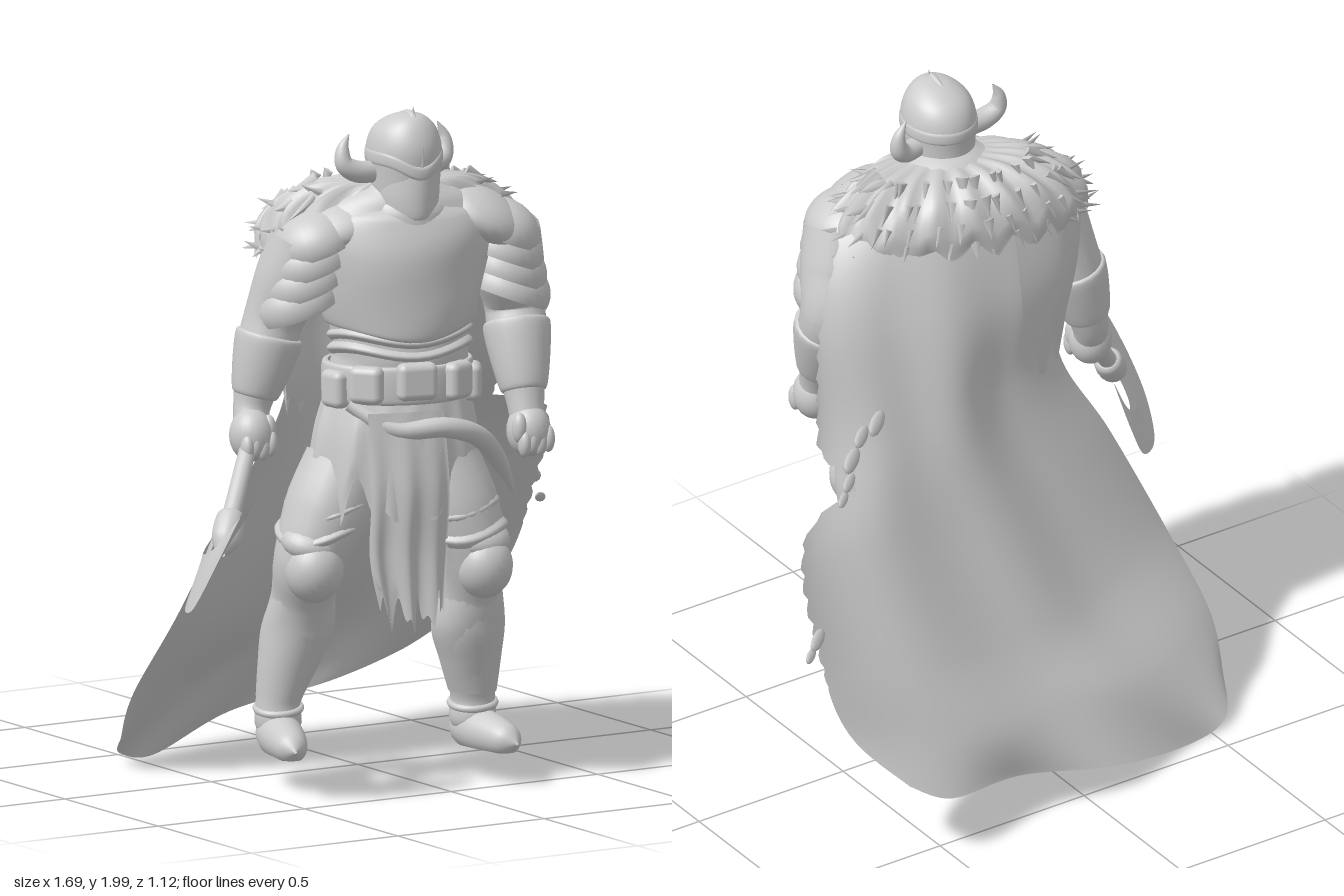
import * as THREE from 'three';
import { ParametricGeometry } from 'three/addons/geometries/ParametricGeometry.js';
import { RoundedBoxGeometry } from 'three/addons/geometries/RoundedBoxGeometry.js';

const YAW = -0.25; // the body is turned slightly
const stone = new THREE.MeshStandardMaterial({ color: 0xcccccc, side: THREE.DoubleSide });
stone.name = 'stone grey';

let seed = 7;
const rand = () => (seed = (seed * 16807) % 2147483647) / 2147483647;
const smooth = (a, b, x) => THREE.MathUtils.smoothstep(x, a, b);

// Catmull-Rom through rows of numbers
function spline(rows) {
  const n = rows.length - 1;
  return (t) => {
    const k = Math.min(Math.max(t, 0), 1) * n, i = Math.min(Math.floor(k), n - 1), f = k - i;
    const [p, q, r, s] = [-1, 0, 1, 2].map((d) => rows[Math.min(Math.max(i + d, 0), n)]);
    return q.map((_, c) => 0.5 * (2 * q[c] + (r[c] - p[c]) * f + (2 * p[c] - 5 * q[c] + 4 * r[c] - s[c]) * f * f
      + (3 * q[c] - p[c] - 3 * r[c] + s[c]) * f * f * f));
  };
}

export function createModel() {
  const model = new THREE.Group();
  model.name = 'hornedWarrior';

  const add = (name, geo, pos = [0, 0, 0], rot = [0, 0, 0], scale = [1, 1, 1]) => {
    const m = new THREE.Mesh(geo, stone);
    m.name = name;
    m.position.set(...pos);
    m.rotation.set(...rot);
    m.scale.set(...scale);
    model.add(m);
    return m;
  };

  // Stack of horizontal ellipses: rows of [x, y, z, rx, rz]
  const loft = (name, rows, yaw = YAW, bump = () => 1, drop = () => 0, nu = 48, nv = 40) => {
    const s = spline(rows), c = Math.cos(yaw), d = Math.sin(yaw);
    return add(name, new ParametricGeometry((u, v, p) => {
      const [x, y, z, rx, rz] = s(v), a = u * Math.PI * 2, b = bump(a, v);
      const ex = Math.cos(a) * rx * b, ez = Math.sin(a) * rz * b;
      p.set(x + ex * c + ez * d, y + drop(a, v), z - ex * d + ez * c);
    }, nu, nv));
  };

  // Round tube of varying radius: rows of [x, y, z, r]
  const limb = (name, rows, floor = -1, n = 20, steps = 28) => {
    const s = spline(rows), t = new THREE.Vector3(), a = new THREE.Vector3(), b = new THREE.Vector3();
    const first = rows[0], last = rows[rows.length - 1];
    const dir = new THREE.Vector3(last[0] - first[0], last[1] - first[1], last[2] - first[2]).normalize();
    const ref = Math.abs(dir.y) < 0.7 ? new THREE.Vector3(0, 1, 0) : new THREE.Vector3(0, 0, 1);
    return add(name, new ParametricGeometry((u, v, p) => {
      const [x, y, z, r] = s(v), p0 = s(v - 0.01), p1 = s(v + 0.01);
      t.set(p1[0] - p0[0], p1[1] - p0[1], p1[2] - p0[2]).normalize();
      a.crossVectors(ref, t).normalize();
      b.crossVectors(t, a);
      p.set(x, y, z).addScaledVector(a, r * Math.cos(u * Math.PI * 2)).addScaledVector(b, r * Math.sin(u * Math.PI * 2));
      p.y = Math.max(p.y, floor);
    }, n, steps));
  };

  // Cloth through rows of [x, y, z] points
  const sheet = (name, rows, nu, nv, warp = () => {}, reach = () => 1) => {
    const lines = rows.map(spline);
    return add(name, new ParametricGeometry((u, v, p) => {
      const w = u * reach(v);
      p.set(...spline(lines.map((l) => l(w)))(v));
      warp(p, w, v);
    }, nu, nv));
  };

  const ball = (name, pos, scale, rot = [0, YAW, 0]) =>
    add(name, new THREE.SphereGeometry(1, 24, 16), pos, rot, scale);

  // Torso with soft folds
  loft('torso', [[-0.05, 0.88, 0.27, 0.1, 0.08], [-0.05, 0.94, 0.27, 0.2, 0.15], [-0.04, 1.08, 0.27, 0.21, 0.16],
    [-0.035, 1.22, 0.28, 0.205, 0.165], [-0.035, 1.32, 0.28, 0.2, 0.165], [-0.035, 1.46, 0.28, 0.235, 0.185],
    [-0.03, 1.6, 0.27, 0.27, 0.195], [-0.03, 1.7, 0.26, 0.25, 0.16], [-0.04, 1.77, 0.28, 0.12, 0.11], [-0.045, 1.8, 0.3, 0.07, 0.07]],
    YAW, (a, v) => 1 + 0.012 * Math.sin(v * 60 + 3 * Math.sin(a)));
  // Breastplate and collar
  loft('breastplate', [[-0.035, 1.36, 0.28, 0.205, 0.17], [-0.035, 1.37, 0.28, 0.222, 0.187], [-0.035, 1.48, 0.28, 0.243, 0.196],
    [-0.03, 1.6, 0.27, 0.27, 0.203], [-0.03, 1.68, 0.27, 0.24, 0.18], [-0.03, 1.71, 0.27, 0.19, 0.15]],
    YAW, (a, v) => 1 + 0.008 * Math.sin(v * 16 + a * 3), (a, v) => -0.04 * Math.max(Math.sin(a), 0) ** 4 * (1 - v));
  loft('collar', [[-0.04, 1.655, 0.3, 0.15, 0.15], [-0.04, 1.7, 0.3, 0.14, 0.145], [-0.045, 1.725, 0.305, 0.115, 0.12], [-0.045, 1.69, 0.3, 0.09, 0.1]]);
  for (const y of [1.29, 1.33])
    loft('waistStrap', [[-0.035, y - 0.018, 0.28, 0.2, 0.16], [-0.035, y, 0.28, 0.215, 0.178], [-0.035, y + 0.018, 0.28, 0.2, 0.16]], YAW, () => 1,
      (a) => 0.012 * Math.sin(a * 3), 40, 8);

  // Belt, buckle and pouches
  loft('belt', [[-0.04, 1.14, 0.275, 0.205, 0.16], [-0.04, 1.15, 0.275, 0.222, 0.18], [-0.04, 1.24, 0.275, 0.222, 0.18], [-0.04, 1.25, 0.275, 0.205, 0.16]]);
  const onHip = (a) => {
    const x = Math.cos(a) * 0.22, z = Math.sin(a) * 0.18;
    return [-0.04 + x * Math.cos(YAW) + z * Math.sin(YAW), 0.275 - x * Math.sin(YAW) + z * Math.cos(YAW)];
  };
  for (const [a, y, w] of [[0.35, 1.18, 0.09], [0.9, 1.2, 0.1], [1.57, 1.21, 0.12], [2.25, 1.2, 0.1], [2.8, 1.18, 0.09], [5.6, 1.18, 0.08]]) {
    const [x, z] = onHip(a);
    add('beltPouch', new RoundedBoxGeometry(w, 0.11, 0.055, 3, 0.022), [x, y, z], [0, Math.PI / 2 - a + YAW, 0]);
  }
  limb('slungBelt', [[-0.24, 1.14, 0.33, 0.02], [-0.14, 1.07, 0.42, 0.026], [0.0, 1.07, 0.47, 0.03], [0.12, 1.03, 0.46, 0.03],
    [0.22, 0.94, 0.41, 0.026], [0.29, 0.84, 0.38, 0.004]]);

  // Ragged skirt and tabard
  loft('skirt', [[-0.04, 1.16, 0.27, 0.21, 0.165], [-0.045, 1.05, 0.27, 0.235, 0.19], [-0.05, 0.93, 0.27, 0.245, 0.2], [-0.05, 0.85, 0.27, 0.24, 0.2]], YAW,
    (a, v) => 1 + v * 0.05 * Math.sin(a * 11), (a, v) => v * (0.05 * Math.sin(a * 9) + 0.035 * Math.sin(a * 17)), 110, 14);
  sheet('tabard', [[[-0.22, 1.12, 0.4], [-0.11, 1.12, 0.44], [0, 1.12, 0.46]], [[-0.22, 0.9, 0.42], [-0.11, 0.9, 0.47], [0.01, 0.9, 0.48]],
    [[-0.22, 0.7, 0.41], [-0.11, 0.7, 0.46], [0.01, 0.7, 0.47]], [[-0.19, 0.54, 0.42], [-0.1, 0.52, 0.46], [0, 0.55, 0.47]]], 60, 24, (p, u, v) => {
    p.z += 0.012 * Math.sin(u * 18) * v;
    p.y += smooth(0.75, 1, v) * (0.035 * Math.sin(u * 24) + 0.025 * Math.sin(u * 47));
  });
  sheet('hipCloth', [[[0.16, 1.2, 0.26], [0.14, 1.2, 0.15], [0.08, 1.2, 0.1]], [[0.2, 1, 0.24], [0.18, 1, 0.12], [0.1, 1, 0.06]],
    [[0.2, 0.86, 0.22], [0.18, 0.8, 0.1], [0.12, 0.82, 0.05]]], 40, 14, (p, u, v) => { p.y += v * v * 0.06 * Math.sin(u * 26); });

  // Legs, knee plates and boots
  for (const [side, hip, knee, calf, ankle, toe] of [
    ['left', [0.06, 0.95, 0.34], [0.13, 0.67, 0.41], [0.15, 0.46, 0.355], [0.185, 0.25, 0.325], [0.2, 0.135, 0.5]],
    ['right', [-0.18, 0.95, 0.22], [-0.3, 0.67, 0.21], [-0.285, 0.46, 0.125], [-0.335, 0.25, 0.1], [-0.395, 0.135, 0.27]]]) {
    const mid = (p, q, f = 0.5) => p.map((c, i) => c + (q[i] - c) * f);
    limb(side + 'Leg', [[...hip, 0.12], [...mid(hip, knee), 0.128], [...knee, 0.104], [...mid(knee, calf), 0.092], [...calf, 0.1],
      [...mid(calf, ankle), 0.083], [...ankle, 0.065], [ankle[0], 0.17, ankle[2], 0.066], [ankle[0], 0.11, ankle[2], 0.02]]);
    const fwd = side === 'left' ? 0.06 : -0.3;
    const front = (p, d) => [p[0] + Math.sin(fwd) * d, p[1], p[2] + Math.cos(fwd) * d];
    ball(side + 'KneePlate', front([knee[0], 0.65, knee[2]], 0.055), [0.085, 0.095, 0.085], [0.2, fwd, 0]);
    ball(side + 'KneeRim', front([knee[0], 0.73, knee[2]], 0.035), [0.092, 0.055, 0.085], [0.3, fwd, 0]);
    // Greave with a pointed top and thigh bands
    loft(side + 'Greave', [[...mid(knee, calf, 0.5), 0.09, 0.097], [...calf, 0.106, 0.108], [...mid(calf, ankle), 0.088, 0.09], [...mid(calf, ankle, 0.95), 0.068, 0.074]],
      fwd, () => 1, (a, v) => 0.06 * (1 - v) * Math.sin(a) ** 3, 32, 16);
    for (const f of [0.4, 0.65])
      loft(side + 'ThighBand', [[...mid(hip, knee, f), 0.122, 0.122], [...mid(hip, knee, f + 0.06), 0.131, 0.131], [...mid(hip, knee, f + 0.13), 0.118, 0.118]],
        fwd, () => 1, (a) => 0.02 * Math.sin(a * 2), 32, 8);
    add(side + 'AnkleStrap', new THREE.TorusGeometry(0.064, 0.011, 8, 28), [ankle[0], 0.225, ankle[2]], [Math.PI / 2 + 0.15, 0.1, 0]);
    const heel = [ankle[0] - Math.sin(fwd) * 0.07, 0.155, ankle[2] - Math.cos(fwd) * 0.07];
    limb(side + 'Boot', [[...heel, 0.01], [...mid(heel, toe, 0.1), 0.052], [...mid(heel, toe, 0.4), 0.066], [...mid(heel, toe, 0.75), 0.058],
      [...toe, 0.042], [...mid(heel, toe, 1.15), 0.004]], 0.1);
  }

  // Arms, bracers, elbow guards and fists
  for (const [side, sh, el, wr, fist] of [
    ['left', [0.28, 1.6, 0.335], [0.355, 1.37, 0.28], [0.33, 1.1, 0.38], [0.325, 1.02, 0.405]],
    ['right', [-0.31, 1.6, 0.21], [-0.385, 1.38, 0.155], [-0.45, 1.13, 0.14], [-0.475, 1.05, 0.175]]]) {
    const mid = (f, p = el, q = wr) => p.map((c, i) => c + (q[i] - c) * f);
    limb(side + 'Arm', [[...sh, 0.11], [...mid(0.5, sh, el), 0.105], [...el, 0.088], [...mid(0.4), 0.085], [...wr, 0.055], [...fist, 0.05]]);
    limb(side + 'Bracer', [[...mid(0.18), 0.08], [...mid(0.22), 0.098], [...mid(0.5), 0.09], [...mid(0.85), 0.07], [...mid(0.9), 0.055]]);
    add(side + 'Elbow', new THREE.SphereGeometry(0.088, 20, 14), el);
    ball(side + 'Fist', fist, [0.064, 0.078, 0.068]);
    for (let i = 0; i < 4; i++)
      ball(side + 'Knuckle', [fist[0] + (i - 1.5) * 0.027, fist[1] - 0.03 + 0.008 * (i % 2), fist[2] + 0.042], [0.019, 0.04, 0.025]);
    ball(side + 'Thumb', [fist[0] + (side === 'left' ? -0.05 : 0.04), fist[1] + 0.015, fist[2] + 0.03], [0.022, 0.045, 0.025]);
    // Overlapping shoulder plates
    const out = side === 'left' ? 1 : -1;
    for (let i = 0; i < 4; i++)
      add(side + 'ShoulderPlate', new THREE.SphereGeometry(1, 28, 10, 0, Math.PI * 2, 0, Math.PI * 0.56),
        [sh[0] + out * (i * 0.016 - 0.02), 1.6 - i * 0.06, sh[2] + 0.005 - i * 0.005], [0, YAW, -out * 0.35], [0.125, 0.1, 0.135 - i * 0.005]);
    // Layered pad from the chest over the shoulder
    ball(side + 'ShoulderPad', [sh[0] - out * 0.08, 1.66, sh[2] + 0.03], [0.13, 0.065, 0.12], [0.35, YAW, -out * 0.4]);
  }

  // Fur mantle with tufts, longest at the shoulder ends
  const fur = [[-0.035, 1.775, 0.27, 0.12, 0.07], [-0.03, 1.765, 0.24, 0.23, 0.11], [-0.03, 1.715, 0.21, 0.33, 0.15], [-0.03, 1.64, 0.205, 0.385, 0.175], [-0.03, 1.57, 0.2, 0.385, 0.165]];
  loft('furMantle', fur, YAW, (a, v) => 1 + 0.03 * Math.sin(a * 15 + v * 9) * v, (a, v) => v * 0.025 * Math.sin(a * 19), 90, 20);
  const furAt = spline(fur), up = new THREE.Vector3(0, 1, 0);
  for (let row = 0; row < 4; row++)
    for (let i = 0; i < 32; i++) {
      const a = (i + rand()) / 32 * Math.PI * 2, [x, y, z, rx, rz] = furAt(0.35 + row * 0.2);
      if (Math.sin(a) > 0.6) continue;
      const end = Math.abs(Math.cos(a)) > 0.8;
      const ex = Math.cos(a) * rx, ez = Math.sin(a) * rz, c = Math.cos(YAW), d = Math.sin(YAW);
      const dir = new THREE.Vector3(ex * c + ez * d, 0, -ex * d + ez * c);
      const tuft = add('furTuft', new THREE.ConeGeometry(0.014, 0.06 + rand() * (end ? 0.05 : 0.01), 5), [x + dir.x, y, z + dir.z], [0, 0, 0], [1.5, 1, 0.7]);
      dir.y = end ? (rand() - 0.6) * 0.5 : -0.5;
      tuft.quaternion.setFromUnitVectors(up, dir.normalize());
    }

  // Helmet: dome, face guard, brow, crest
  const hy = -0.12;
  loft('helmet', [[-0.05, 1.66, 0.31, 0.08, 0.08], [-0.05, 1.72, 0.32, 0.095, 0.11], [-0.05, 1.81, 0.325, 0.104, 0.12], [-0.05, 1.88, 0.325, 0.106, 0.123],
    [-0.05, 1.935, 0.33, 0.088, 0.1], [-0.05, 1.97, 0.345, 0.048, 0.055], [-0.05, 1.982, 0.355, 0.002, 0.002]], hy);
  loft('faceGuard', [[-0.055, 1.67, 0.36, 0.06, 0.07], [-0.055, 1.685, 0.355, 0.084, 0.09], [-0.055, 1.74, 0.35, 0.092, 0.097], [-0.05, 1.81, 0.345, 0.094, 0.098]],
    hy, (a) => 1 + 0.05 * Math.max(Math.sin(a), 0) ** 12);
  loft('browBand', [[-0.05, 1.835, 0.325, 0.1, 0.115], [-0.05, 1.84, 0.325, 0.109, 0.127], [-0.05, 1.87, 0.325, 0.109, 0.127], [-0.05, 1.878, 0.325, 0.1, 0.115]],
    hy, () => 1, (a) => -0.04 * Math.max(Math.sin(a), 0) ** 5, 48, 10);
  limb('crest', [[-0.062, 1.8, 0.443, 0.005], [-0.061, 1.89, 0.437, 0.009], [-0.057, 1.95, 0.4, 0.012], [-0.052, 1.978, 0.355, 0.011], [-0.05, 1.96, 0.28, 0.004]]);
  add('crestSpike', new THREE.ConeGeometry(0.014, 0.045, 10), [-0.047, 1.977, 0.37]);
  limb('rightHorn', [[-0.14, 1.81, 0.31, 0.032], [-0.2, 1.815, 0.31, 0.032], [-0.24, 1.84, 0.305, 0.027], [-0.242, 1.885, 0.3, 0.018], [-0.222, 1.925, 0.3, 0.002]]);
  limb('leftHorn', [[0.03, 1.81, 0.3, 0.03], [0.09, 1.81, 0.285, 0.03], [0.12, 1.835, 0.275, 0.027], [0.123, 1.88, 0.27, 0.018], [0.1, 1.925, 0.27, 0.002]]);

  // Axe: shaft, socket and crescent blade
  limb('axeShaft', [[-0.43, 1.12, 0.13, 0.024], [-0.48, 1.05, 0.18, 0.024], [-0.58, 0.92, 0.27, 0.026], [-0.685, 0.78, 0.36, 0.028]]);
  limb('axeSocket', [[-0.625, 0.86, 0.31, 0.026], [-0.635, 0.845, 0.318, 0.042], [-0.675, 0.79, 0.352, 0.042], [-0.705, 0.755, 0.37, 0.015]]);
  const outer = [[-0.62, 0.995, 0.47], [-0.73, 0.93, 0.55], [-0.81, 0.78, 0.535], [-0.84, 0.62, 0.44], [-0.75, 0.58, 0.25], [-0.64, 0.62, 0.14], [-0.58, 0.73, 0.115], [-0.575, 0.85, 0.2]];
  const inner = [[-0.62, 0.995, 0.47], [-0.64, 0.92, 0.45], [-0.68, 0.84, 0.42], [-0.705, 0.765, 0.36], [-0.685, 0.73, 0.27], [-0.64, 0.73, 0.2], [-0.6, 0.77, 0.18], [-0.575, 0.85, 0.2]];
  for (const s of [-1, 1])
    sheet('axeBlade', [inner, outer], 40, 6, (p, u, v) => p.addScaledVector(new THREE.Vector3(-0.8, 0.5, -0.4), s * 0.012 * (1 - v) * Math.sin(u * Math.PI)));

  // Billowing cape
  sheet('cape', [
    [[-0.36, 1.64, 0.1], [-0.15, 1.7, 0.07], [0.05, 1.71, 0.1], [0.2, 1.7, 0.17], [0.33, 1.66, 0.26]],
    [[-0.29, 1.4, 0.04], [-0.12, 1.4, 0.01], [0.1, 1.4, 0.02], [0.32, 1.4, 0.07], [0.51, 1.42, 0.11]],
    [[-0.29, 1.12, 0.05], [-0.08, 1.1, 0], [0.15, 1.1, -0.05], [0.38, 1.12, -0.04], [0.61, 1.15, -0.02]],
    [[-0.44, 0.83, 0.02], [-0.15, 0.8, -0.07], [0.15, 0.82, -0.15], [0.5, 0.88, -0.2], [0.8, 0.9, -0.22]],
    [[-0.58, 0.5, -0.05], [-0.25, 0.45, -0.2], [0.1, 0.48, -0.32], [0.5, 0.55, -0.38], [0.81, 0.6, -0.36]],
    [[-0.65, 0.25, -0.18], [-0.36, 0.22, -0.35], [0.02, 0.28, -0.44], [0.42, 0.32, -0.49], [0.76, 0.42, -0.44]],
    [[-0.625, 0.1, -0.29], [-0.56, 0.035, -0.4], [-0.42, 0.01, -0.435], [-0.1, 0.09, -0.53], [0.22, 0.15, -0.5], [0.5, 0.2, -0.565], [0.63, 0.27, -0.54]]], 60, 90,
  (p, u, v) => { p.z += 0.01 * Math.sin(u * 20 + v * 5) * Math.sin(v * Math.PI); },
  (v) => 1 - 0.16 * Math.exp(-(((v - 0.4) / 0.04) ** 2)) - 0.025 * (1 - smooth(0.6, 0.72, v)) * Math.sin(v * 95) ** 2);

  // Torn inner fold hanging behind the right shoulder
  sheet('capeFold', [[[-0.4, 1.62, 0.1], [-0.28, 1.63, 0.05], [-0.12, 1.66, 0.05]], [[-0.36, 1.4, 0.07], [-0.28, 1.4, 0.02], [-0.12, 1.4, 0]],
    [[-0.3, 1.14, 0.08], [-0.25, 1.12, 0.04], [-0.14, 1.14, 0]]], 40, 20, (p, u, v) => { p.y += smooth(0.5, 1, v) * 0.06 * Math.sin(u * 16); });

  // Torn scraps along the cape edge
  for (const [x, y, z, s] of [[0.43, 1.19, -0.07, 0.04], [0.49, 1.17, -0.08, 0.035], [0.55, 1.13, -0.12, 0.04], [0.58, 1.08, -0.15, 0.03],
    [0.6, 1.03, -0.15, 0.025], [0.81, 0.72, -0.33, 0.035], [0.82, 0.66, -0.31, 0.025]])
    add('tornScrap', new THREE.IcosahedronGeometry(s, 1), [x, y, z], [0.5, 0.3, -0.6], [1.2, 0.6, 0.25]);

  return model;
}
